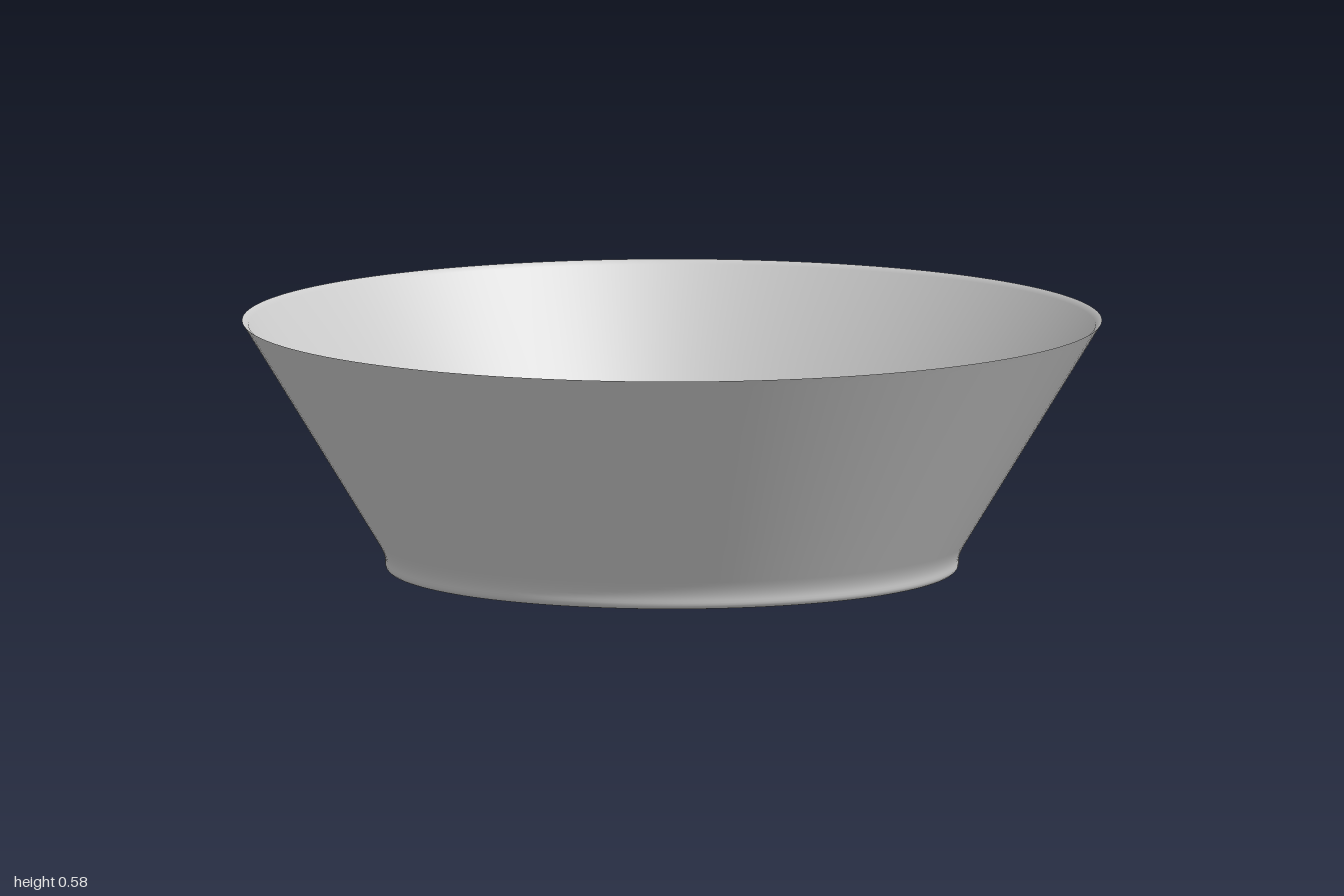
import * as THREE from 'three';

const SEGMENTS = 128;
const HEIGHT = 0.585;

export function createModel() {
  const bowl = new THREE.Group();
  bowl.name = 'bowl';
  const material = new THREE.MeshStandardMaterial({ color: 0xcccccc, side: THREE.DoubleSide });

  // Revolve a path around the vertical axis
  const addLathe = (name, points) => {
    const mesh = new THREE.Mesh(new THREE.LatheGeometry(points, SEGMENTS), material);
    mesh.name = name;
    bowl.add(mesh);
  };
  const v = (x, y) => new THREE.Vector2(x, y);

  // Flat underside with a very shallow recess inside the foot ring
  addLathe('underside', [v(0, 0.006), v(0.4, 0.006), v(0.58, 0.005), v(0.62, 0.001), v(0.645, 0)]);

  // Short rounded foot flowing into the flared wall
  const foot = new THREE.QuadraticBezierCurve(v(0.645, 0), v(0.667, 0), v(0.667, 0.016)).getPoints(6);
  const blend = new THREE.QuadraticBezierCurve(v(0.667, 0.022), v(0.667, 0.04), v(0.683, 0.066)).getPoints(6);
  addLathe('outerWall', [...foot, ...blend, v(0.75, 0.176), v(0.875, 0.381), v(0.99, 0.569), v(1, HEIGHT)]);

  // Inner wall from the thin rim, through a soft fillet, to the flat floor
  const fillet = new THREE.QuadraticBezierCurve(v(0.7, 0.115), v(0.65, 0.036), v(0.55, 0.036)).getPoints(12);
  addLathe('innerWall', [v(1, HEIGHT), v(0.985, 0.575), v(0.86, 0.374), v(0.74, 0.18), ...fillet, v(0.5, 0.036), v(0, 0.036)]);

  return bowl;
}
